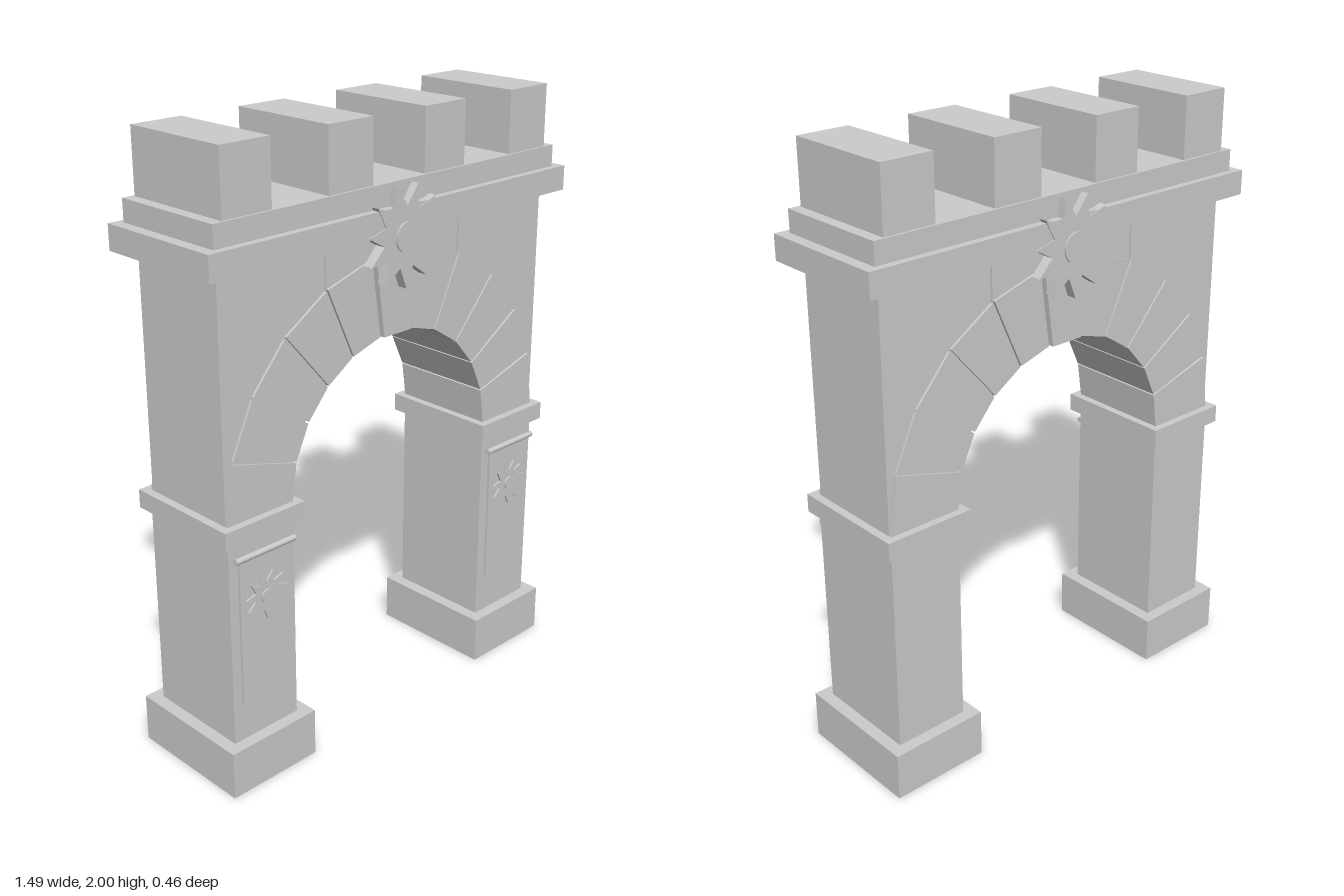
import * as THREE from 'three';

const SPRING = 0.9, R_IN = 0.43, R_OUT = 0.682, STONES = 11;

export function createModel() {
  const gate = new THREE.Group();
  gate.name = 'archGate';
  const stone = new THREE.MeshStandardMaterial({ color: 0xcccccc });
  stone.name = 'paleStone';

  function add(name, geometry, parent = gate) {
    const mesh = new THREE.Mesh(geometry, stone);
    mesh.name = name;
    parent.add(mesh);
    return mesh;
  }
  // Box given by its limits
  function box(name, x0, x1, y0, y1, z0, z1, parent) {
    const mesh = add(name, new THREE.BoxGeometry(x1 - x0, y1 - y0, z1 - z0), parent);
    mesh.position.set((x0 + x1) / 2, (y0 + y1) / 2, (z0 + z1) / 2);
    return mesh;
  }
  // Outline of points, extruded from z0 to z1
  function slab(name, points, z0, z1, parent) {
    const shape = new THREE.Shape(points.map(([x, y]) => new THREE.Vector2(x, y)));
    const geometry = new THREE.ExtrudeGeometry(shape, { depth: z1 - z0, bevelEnabled: false });
    geometry.translate(0, 0, z0);
    return add(name, geometry, parent);
  }
  const polar = (r, a) => [r * Math.cos(a), SPRING + r * Math.sin(a)];

  // Sun emblem: eleven-pointed star with a raised disc
  function sun(name, r, x, y, z0, z1, z2, parent) {
    const group = new THREE.Group();
    group.name = name;
    const points = [];
    for (let i = 0; i < 22; i++) {
      const a = -Math.PI / 2 + (i * Math.PI) / 11;
      const d = i % 2 ? r * 0.6 : r;
      points.push([d * Math.cos(a), d * Math.sin(a)]);
    }
    slab('sunRays', points, z0, z1, group);
    const disc = add('sunDisc', new THREE.CylinderGeometry(r * 0.3, r * 0.3, z2 - z0, 20), group);
    disc.rotation.x = Math.PI / 2;
    disc.position.z = (z0 + z2) / 2;
    group.position.set(x, y, 0);
    parent.add(group);
    return group;
  }

  // Pillars with plinth, capital and hanging banner
  for (const side of [-1, 1]) {
    const pillar = new THREE.Group();
    pillar.name = side > 0 ? 'leftPillar' : 'rightPillar';
    pillar.position.x = side * 0.557;
    box('plinth', -0.168, 0.168, 0, 0.16, -0.22, 0.22, pillar);
    box('shaft', -0.127, 0.127, 0.16, 0.84, -0.18, 0.18, pillar);
    box('capital', -0.153, 0.153, 0.84, 0.9, -0.205, 0.205, pillar);
    box('banner', -0.1, 0.1, 0.3, 0.785, 0.188, 0.197, pillar);
    const rod = add('bannerRod', new THREE.CylinderGeometry(0.01, 0.01, 0.23, 10), pillar);
    rod.rotation.z = Math.PI / 2;
    rod.position.set(0, 0.79, 0.197);
    sun('bannerSun', 0.08, 0, 0.64, 0.196, 0.203, 0.208, pillar);
    gate.add(pillar);
  }

  // Wall above the springing, in three pieces cut along the arch
  const step = Math.PI / STONES;
  const R_WALL = 0.437;
  const arc = (from, to) => {
    const points = [];
    for (let i = from; i <= to; i++) points.push(polar(R_WALL, i * step));
    return points;
  };
  const cut = 0.284, gap = 0.003;
  const cutY = SPRING + Math.sqrt(R_WALL ** 2 - cut ** 2) - 0.008;
  const flank = [[0.683, SPRING], [0.683, 1.65], [cut + gap, 1.65], [cut + gap, cutY],
    ...arc(0, 3).reverse()];
  slab('leftWall', flank, -0.172, 0.172);
  slab('rightWall', flank.map(([x, y]) => [-x, y]), -0.172, 0.172);
  slab('centreWall', [[cut - gap, cutY], [cut - gap, 1.65], [gap - cut, 1.65], [gap - cut, cutY],
    ...arc(4, 7).reverse()], -0.172, 0.172);

  // Ring of wedge stones, with a prouder keystone
  for (let i = 0; i < STONES; i++) {
    const key = i === (STONES - 1) / 2;
    const a0 = i * step + (i ? 0.006 : 0);
    const a1 = (i + 1) * step - (i < STONES - 1 ? 0.006 : 0);
    const outer = key ? 0.7 : R_OUT;
    const depth = key ? 0.192 : 0.18;
    slab(key ? 'keystone' : 'archStone',
      [polar(R_IN, a0), polar(outer, a0), polar(outer, a1), polar(R_IN, a1)], -depth, depth);
  }

  // Cornice and battlements
  box('lowerCornice', -0.745, 0.745, 1.65, 1.73, -0.222, 0.222);
  box('upperCornice', -0.708, 0.708, 1.73, 1.8, -0.198, 0.198);
  for (const x of [-0.583, -0.196, 0.196, 0.583]) {
    box('merlon', x - 0.088, x + 0.088, 1.8, 2, -0.19, 0.19);
  }

  // Sun emblem on both faces
  sun('frontSun', 0.16, 0, 1.635, 0.19, 0.225, 0.23, gate);
  sun('backSun', 0.16, 0, 1.635, 0.19, 0.225, 0.23, gate).rotation.y = Math.PI;

  return gate;
}
